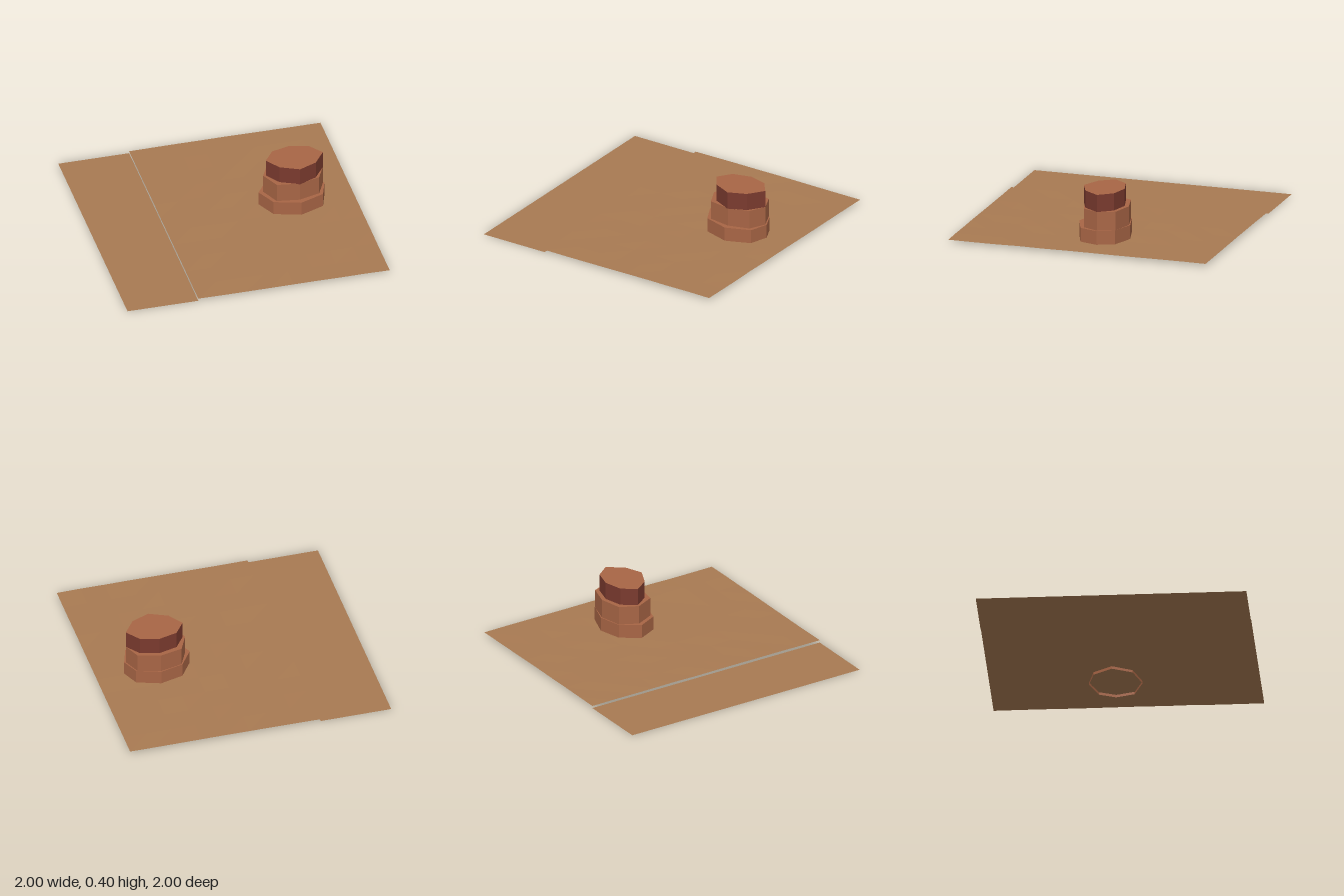
import * as THREE from 'three';

const SIDE = { side: THREE.DoubleSide, flatShading: true };
const ground = new THREE.MeshStandardMaterial({ color: 0xa87a52, ...SIDE });
ground.name = 'sand';
const rock = new THREE.MeshStandardMaterial({ color: 0xa86545, ...SIDE });
rock.name = 'red rock';
const darkRock = new THREE.MeshStandardMaterial({ color: 0x7a3a2e, ...SIDE });
darkRock.name = 'dark rock';

// Small repeatable noise in -1..1
function makeNoise(seed) {
  let s = seed;
  return () => {
    s = (s * 16807) % 2147483647;
    return (s / 2147483647) * 2 - 1;
  };
}

function addMesh(group, geometry, material, name) {
  const mesh = new THREE.Mesh(geometry, material);
  mesh.name = name;
  group.add(mesh);
  return mesh;
}

function fromPositions(positions) {
  const g = new THREE.BufferGeometry();
  g.setAttribute('position', new THREE.Float32BufferAttribute(positions, 3));
  g.computeVertexNormals();
  return g;
}

// One irregular rock layer: an open wall plus a flat top.
// The outline is [x, z] pairs running left, front, right, back.
function rockTier(name, outline, y0, y1, wallMaterial) {
  const tier = new THREE.Group();
  tier.name = name;
  const wall = [], top = [];
  outline.forEach(([ax, az], i) => {
    const [bx, bz] = outline[(i + 1) % outline.length];
    wall.push(ax, y0, az, bx, y0, bz, bx, y1, bz);
    wall.push(ax, y0, az, bx, y1, bz, ax, y1, az);
    top.push(0.555, y1, -0.08, ax, y1, az, bx, y1, bz);
  });
  addMesh(tier, fromPositions(wall), wallMaterial, name + 'Wall');
  addMesh(tier, fromPositions(top), rock, name + 'Top');
  return tier;
}

export function createModel() {
  const model = new THREE.Group();
  model.name = 'desertMesa';

  // Raised desert floor with very slight relief
  const floor = new THREE.PlaneGeometry(1.46, 2, 8, 11).rotateX(-Math.PI / 2);
  const noise = makeNoise(71);
  const p = floor.attributes.position;
  for (let i = 0; i < p.count; i++) p.setY(i, noise() * 0.002);
  floor.computeVertexNormals();
  addMesh(model, floor, ground, 'desertFloor').position.set(0.27, 0.019, 0);

  // Lower flat strip beside it
  const strip = new THREE.PlaneGeometry(0.54, 2).rotateX(-Math.PI / 2);
  addMesh(model, strip, ground, 'lowerStrip').position.set(-0.73, 0, 0);

  // Three stacked layers of the mesa
  const mesa = new THREE.Group();
  mesa.name = 'mesa';
  mesa.add(
    rockTier('lowerTier', [
      [0.285, -0.08], [0.36, 0.07], [0.555, 0.13], [0.74, 0.06],
      [0.787, -0.08], [0.73, -0.205], [0.555, -0.265], [0.38, -0.22],
    ], 0, 0.125, rock),
    rockTier('middleTier', [
      [0.32, -0.08], [0.387, 0.062], [0.555, 0.088], [0.715, 0.042],
      [0.775, -0.08], [0.72, -0.208], [0.555, -0.255], [0.385, -0.215],
    ], 0.12, 0.268, rock),
    rockTier('upperTier', [
      [0.34, -0.08], [0.415, 0.03], [0.555, 0.095], [0.69, 0.038],
      [0.775, -0.08], [0.695, -0.185], [0.555, -0.222], [0.415, -0.185],
    ], 0.266, 0.4, darkRock),
  );
  model.add(mesa);
  return model;
}
